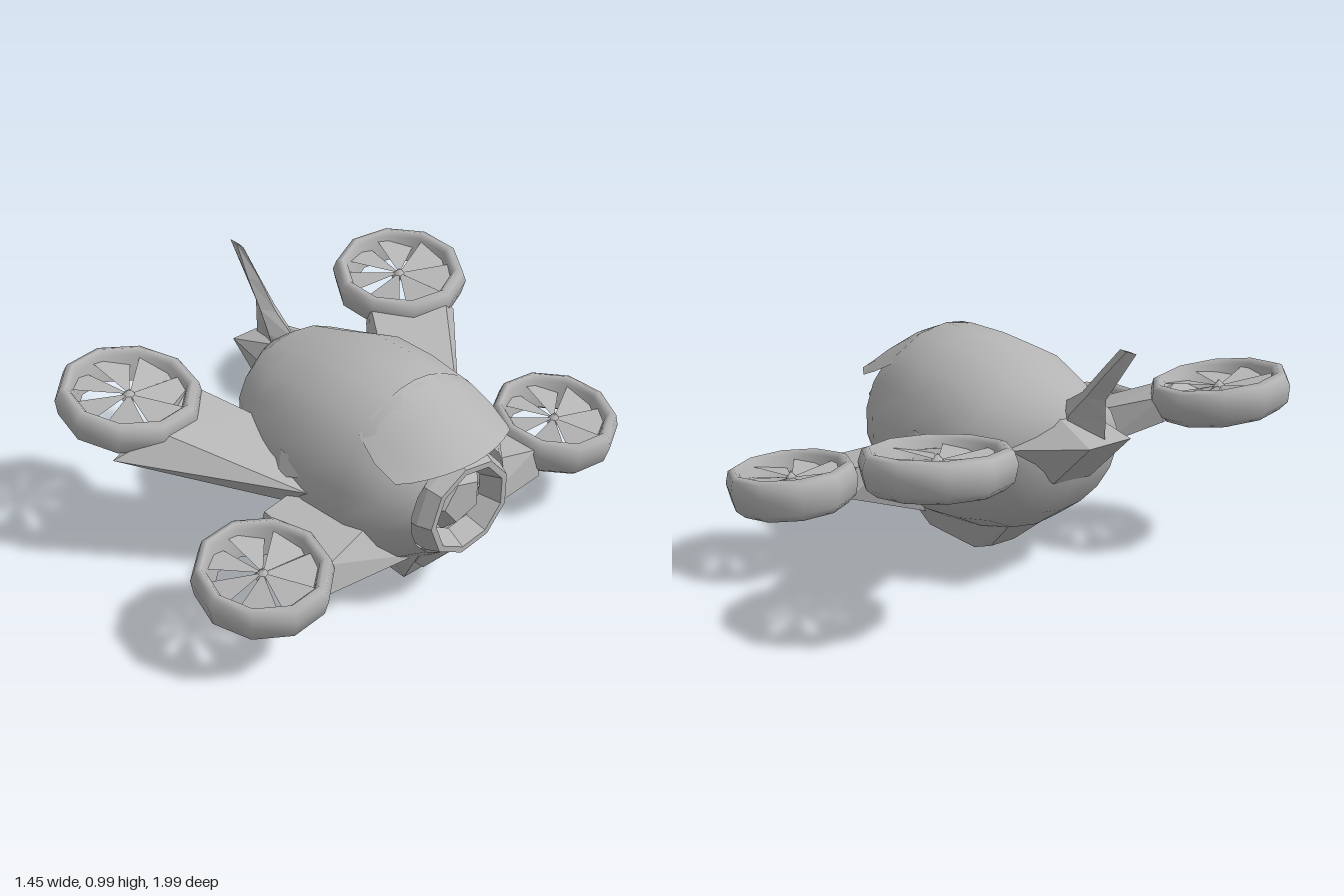
import * as THREE from 'three';
import { ConvexGeometry } from 'three/addons/geometries/ConvexGeometry.js';

const V = (x, y, z) => new THREE.Vector3(x, y, z);
const grey = new THREE.MeshStandardMaterial({ color: 0xb4b4b4, side: THREE.DoubleSide });
grey.name = 'plain grey';

function part(name, geometry, parent) {
  const mesh = new THREE.Mesh(geometry, grey);
  mesh.name = name;
  parent.add(mesh);
  return mesh;
}

// Skin over rows of points; closed rows wrap round
function skin(rows, closed, flat) {
  const n = rows[0].length, index = [];
  for (let i = 0; i < rows.length - 1; i++) {
    for (let j = 0; j < (closed ? n : n - 1); j++) {
      const a = i * n + j, b = i * n + (j + 1) % n;
      index.push(a, b, a + n, b, b + n, a + n);
    }
  }
  let g = new THREE.BufferGeometry().setFromPoints(rows.flat());
  g.setIndex(index);
  if (flat) g = g.toNonIndexed();
  g.computeVertexNormals();
  return g;
}

// Hull of points; mirrored adds the same points across z
const hull = (pts) => new ConvexGeometry(pts.map((p) => V(...p)));
const mirrored = (pts) => hull(pts.flatMap(([x, y, z]) => [[x, y, z], [x, y, -z]]));

function makeRotor(name) {
  const rotor = new THREE.Group();
  rotor.name = name;
  const profile = [[0.195, -0.05], [0.23, -0.075], [0.268, -0.045], [0.283, 0.02], [0.268, 0.065],
    [0.242, 0.076], [0.222, 0.055], [0.195, -0.05]].map(([r, y]) => new THREE.Vector2(r, y));
  part('duct', new THREE.LatheGeometry(profile, 10), rotor);
  // Fan blades near the upper rim
  const count = 7, step = (Math.PI * 2) / count;
  for (let i = 0; i < count; i++) {
    const blade = new THREE.CircleGeometry(0.225, 1, -step * 0.42, step * 0.84);
    blade.rotateX(-Math.PI / 2 + 0.2).rotateY(i * step);
    part('blade', blade, rotor).position.y = 0.03;
  }
  part('hub', new THREE.ConeGeometry(0.035, 0.04, 7), rotor).position.y = 0.035;
  return rotor;
}

export function createModel() {
  const model = new THREE.Group();
  model.name = 'fourRotorDrone';

  // Rounded body: x, top, bottom, half width
  const sections = [
    [-0.385, 0.57, 0.55, 0.01], [-0.375, 0.69, 0.43, 0.16], [-0.3, 0.745, 0.28, 0.285],
    [-0.15, 0.79, 0.175, 0.36], [0.03, 0.86, 0.125, 0.395], [0.22, 0.873, 0.1, 0.4],
    [0.42, 0.872, 0.11, 0.375], [0.55, 0.8, 0.17, 0.315], [0.65, 0.7, 0.25, 0.235]];
  const bodyRows = sections.map(([x, top, bottom, w]) => {
    const row = [];
    for (let j = 0; j < 18; j++) {
      const t = (j / 18) * Math.PI * 2;
      row.push(V(x, (top + bottom) / 2 + Math.cos(t) * (top - bottom) / 2, Math.sin(t) * w));
    }
    return row;
  });
  part('body', skin(bodyRows, true), model);

  // Hood over the face: x, ridge height, drop at the sides, half width, sweep
  const hood = [[0.4, 0.877, 0.12, 0.27, 0], [0.52, 0.83, 0.13, 0.29, 0.01],
    [0.64, 0.76, 0.1, 0.28, 0.03], [0.725, 0.685, 0.01, 0.25, 0.07]];
  part('hood', skin(hood.map(([x, y, drop, w, sweep]) => {
    const row = [];
    for (let j = -4; j <= 4; j++) {
      const u = j / 4;
      row.push(V(x - sweep * u * u, y - drop * u * u, u * w));
    }
    return row;
  })), model);

  // Face ring with a recessed faceted lens
  const ring = [[0.225, 0.56], [0.218, 0.66], [0.195, 0.715], [0.17, 0.715], [0.135, 0.63]]
    .map(([r, y]) => new THREE.Vector2(r, y));
  const face = part('faceRing', new THREE.LatheGeometry(ring, 9).toNonIndexed(), model);
  face.geometry.computeVertexNormals();
  face.rotation.z = -Math.PI / 2;
  face.position.y = 0.47;
  const lens = part('lens', new THREE.CylinderGeometry(0.09, 0.15, 0.06, 5).toNonIndexed(), model);
  lens.geometry.computeVertexNormals();
  lens.rotation.z = -Math.PI / 2;
  lens.position.set(0.645, 0.48, 0);

  // Keel the body stands on, with a chin
  part('keel', mirrored([[-0.13, 0.19, 0.12], [-0.01, 0.115, 0.1], [0.06, 0.03, 0.06], [0.15, 0, 0.075],
    [0.45, 0.005, 0.075], [0.2, 0.18, 0.19], [0.5, 0.2, 0.19], [0.54, 0.15, 0.12],
    [0.6, 0.26, 0.13]]), model);
  part('chin', mirrored([[0.5, 0.12, 0.06], [0.56, 0.13, 0.08], [0.54, 0.2, 0.14],
    [0.66, 0.25, 0.05], [0.6, 0.28, 0.12]]), model);

  // Tail block, wider on one side, and upright fin
  part('tail', hull([[-0.57, 0.62, 0.1], [-0.57, 0.62, -0.1], [-0.5, 0.56, 0.06], [-0.5, 0.56, -0.08],
    [-0.37, 0.42, 0.08], [-0.37, 0.43, -0.1], [-0.3, 0.6, 0.12], [-0.3, 0.58, -0.27],
    [-0.3, 0.7, 0.06], [-0.3, 0.7, -0.06]]), model);
  const fin = [[0.6, -0.54, -0.2, 0.05], [0.7, -0.54, -0.28, 0.05], [0.78, -0.54, -0.41, 0.035],
    [0.88, -0.615, -0.505, 0.025], [0.988, -0.695, -0.61, 0.004]];
  part('tailFin', skin(fin.map(([y, x0, x1, t]) => {
    const mid = x0 * 0.45 + x1 * 0.55;
    return [V(x0, y, 0), V(mid, y, t), V(x1, y, 0), V(mid, y, -t)];
  }), true, true), model);

  // Arms and rotors on both sides
  for (const s of [1, -1]) {
    const side = s > 0 ? 'right' : 'left';
    const flip = (pts) => hull(pts.map(([x, y, z]) => [x, y, z * s]));

    const rear = makeRotor(side + 'RearRotor');
    rear.position.set(-0.447, 0.65, s * 0.692);
    rear.rotation.set(-0.05 * s, 0.2 * s, -0.12);
    model.add(rear);
    const tip = s > 0 ? [-0.26, 0.57, 0.9] : [-0.2, 0.58, 0.78];
    part(side + 'RearArm', flip([tip, [-0.19, 0.65, 0.72], [-0.2, 0.56, 0.72], [-0.37, 0.66, 0.46],
      [-0.38, 0.56, 0.45], [0.25, 0.46, 0.39], [0.16, 0.35, 0.37], [-0.2, 0.45, 0.3],
      [-0.15, 0.58, 0.33]]), model);

    const front = makeRotor(side + 'FrontRotor');
    front.position.set(s > 0 ? 0.415 : 0.43, 0.345, s * (s > 0 ? 0.735 : 0.745));
    front.rotation.set(0.03 * s, 0.1 * s, -0.1);
    front.scale.set(0.94, 1.1, 0.91);
    model.add(front);
    const back = s > 0 ? 0.16 : 0.27;
    part(side + 'FrontArm', flip([[back + 0.02, 0.29, 0.58], [back + 0.02, 0.41, 0.54],
      [0.56, 0.26, 0.54], [0.54, 0.38, 0.53], [0.42, 0.07, 0.08], [0.55, 0.2, 0.1],
      [back, 0.42, 0.37], [0.49, 0.4, 0.32]]), model);

    // Small pointed plates on the flanks
    part(side + 'FlankSpike', flip([[0.02, 0.52, 0.37], [0.1, 0.58, 0.39], [0.28, 0.54, 0.37],
      [0.12, 0.48, 0.425]]), model);
  }
  return model;
}
